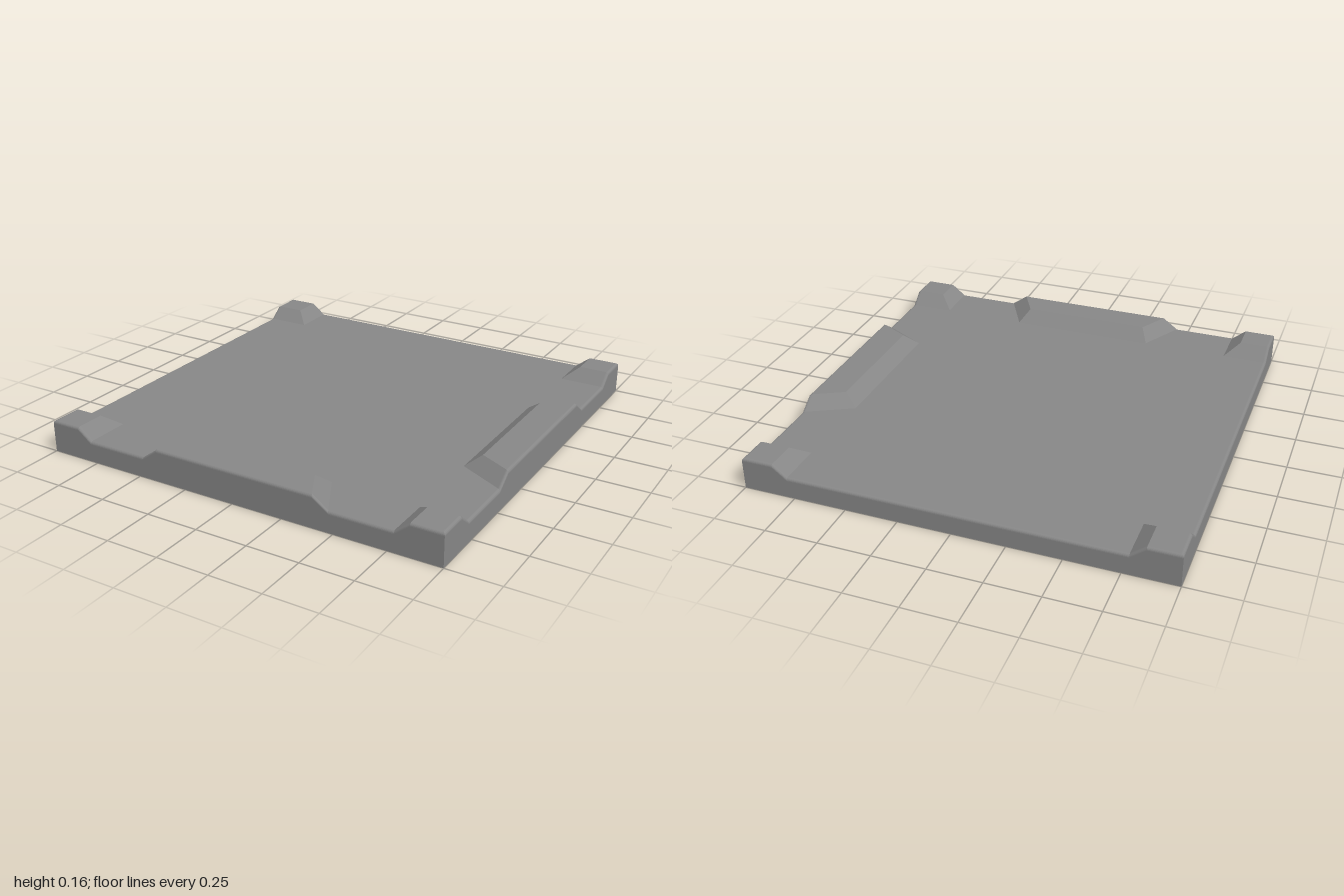
import * as THREE from 'three';
import { ConvexGeometry } from 'three/addons/geometries/ConvexGeometry.js';

const BASE = 0.1, TOP = 0.155; // floor height and raised height
const BEVEL = 0.014; // radius of the rounded outer edge
const STEPS = 5;

// Rounded edge profile: distance from the centre, and drop below the surface
const RIM = Array.from({ length: STEPS + 1 }, (_, i) => {
  const a = (i / STEPS) * Math.PI / 2;
  return [1 - BEVEL + BEVEL * Math.sin(a), BEVEL * (1 - Math.cos(a))];
});

const material = new THREE.MeshStandardMaterial({ color: 0x868686, flatShading: true });

// Faceted solid wrapped around a few corner points
function solid(name, points) {
  const mesh = new THREE.Mesh(new ConvexGeometry(points.map((p) => new THREE.Vector3(...p))), material);
  mesh.name = name;
  return mesh;
}

// Square slab with a rounded upper edge
function floorSlab() {
  const rings = [[1, 0], ...RIM.map(([r, drop]) => [r, BASE - drop])];
  const points = [];
  for (const [r, y] of rings)
    for (const sx of [-1, 1]) for (const sz of [-1, 1]) points.push([sx * r, y, sz * r]);
  return solid('floorSlab', points);
}

// Corner block: two sloped inner sides, rounded outer edges
function cornerBlock(sx, sz) {
  const points = [];
  for (const [inner, y] of [[0.78, BASE], [0.85, TOP]]) {
    points.push([inner, y, inner]);
    for (const [r, drop] of RIM)
      points.push([r, y - drop, inner], [inner, y - drop, r], [r, y - drop, r]);
  }
  return solid('cornerBlock', points.map(([x, y, z]) => [x * sx, y, z * sz]));
}

// Edge ridge: trapezoid in plan with sloped ends and inner side, widening to the rim
function edgeRidge(name) {
  const points = [];
  for (const [halfLength, inner, y] of [[0.36, 0.775, BASE], [0.32, 0.845, TOP]])
    for (const [z, drop] of [[inner, 0], ...RIM])
      for (const s of [-1, 1]) points.push([s * (halfLength + (z - inner) * 0.533), y - drop, z]);
  return solid(name, points);
}

export function createModel() {
  const group = new THREE.Group();
  group.name = 'floorTile';
  group.add(floorSlab());
  for (const sx of [-1, 1]) for (const sz of [-1, 1]) group.add(cornerBlock(sx, sz));

  // Ridges on the front and left edges only
  const leftRidge = edgeRidge('leftRidge');
  leftRidge.rotation.y = Math.PI / 2;
  group.add(edgeRidge('frontRidge'), leftRidge);
  return group;
}
